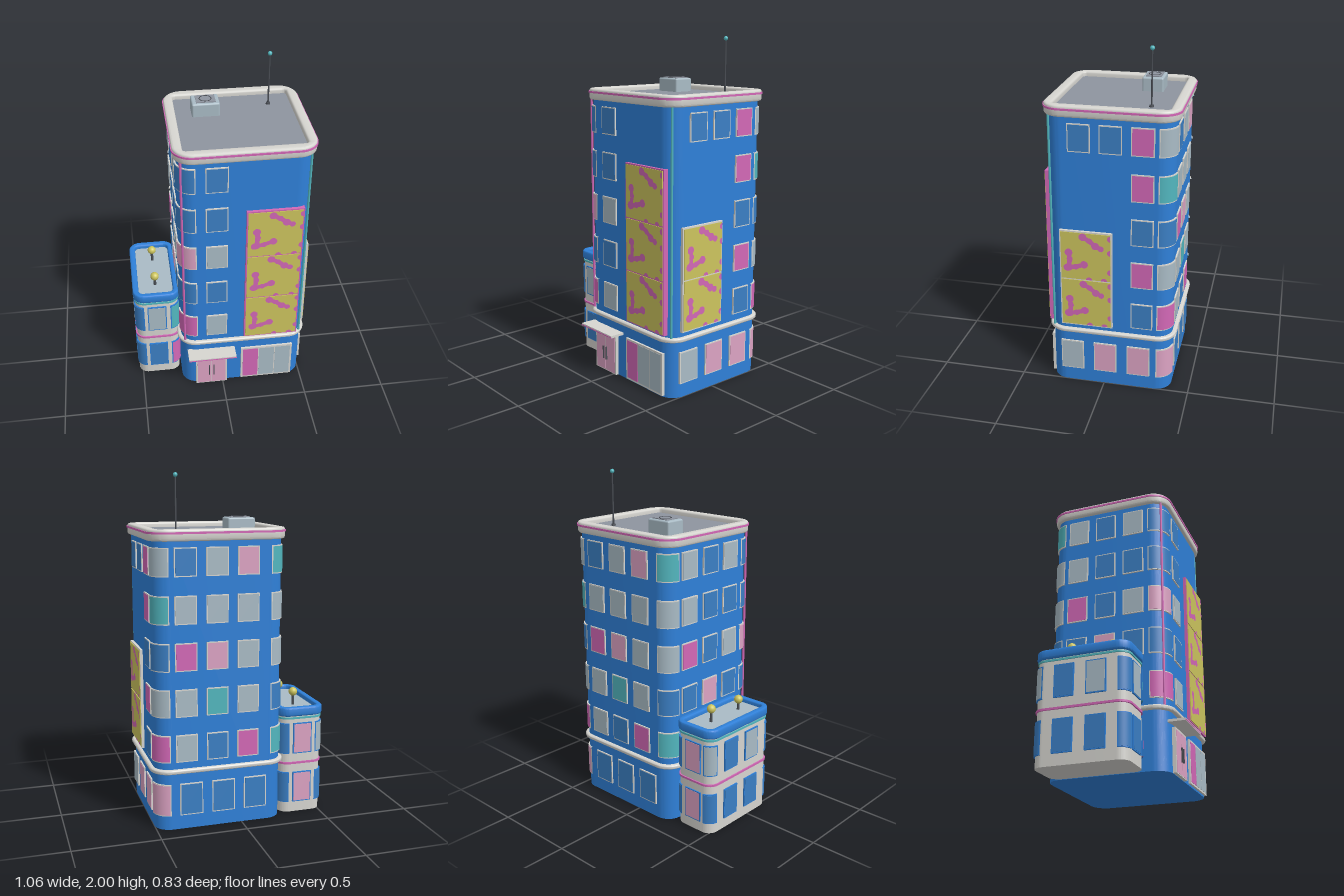
import * as THREE from 'three';
import { toCreasedNormals } from 'three/addons/utils/BufferGeometryUtils.js';
import { RoundedBoxGeometry } from 'three/addons/geometries/RoundedBoxGeometry.js';

const COLORS = {
  wallBlue: 0x2f80d8, trim: 0xd6d5d0, roofGrey: 0x8e949f, paleGlass: 0xa9bbc5, blueGlass: 0x3b7fc4,
  blushGlass: 0xdca3c3, hotPink: 0xd268b6, teal: 0x52b6be, yellow: 0xccc45e, darkMetal: 0x4a4e55,
};
const GLASS = { p: 'paleGlass', b: 'blueGlass', l: 'blushGlass', h: 'hotPink', t: 'teal' };

// Footprints: centre, size and corner radius
const TOWER = { x: 0.125, z: -0.037, w: 0.75, d: 0.706, r: 0.09 };
const ANNEX = { x: -0.39, z: -0.074, w: 0.262, d: 0.53, r: 0.06 };

export function createModel() {
  const model = new THREE.Group();
  model.name = 'building';
  const mats = {};
  for (const [name, color] of Object.entries(COLORS)) {
    mats[name] = new THREE.MeshStandardMaterial({ color });
    mats[name].name = name;
  }

  const add = (parent, name, geo, mat, x = 0, y = 0, z = 0) => {
    const m = new THREE.Mesh(geo, mats[mat]);
    m.name = name;
    m.position.set(x, y, z);
    parent.add(m);
    return m;
  };
  const box = (parent, name, w, h, d, mat, x, y, z) => add(parent, name, new THREE.BoxGeometry(w, h, d), mat, x, y, z);

  // Rounded rectangle outline grown by g
  const outline = (f, g, r, target = new THREE.Shape()) => {
    const a = f.w / 2 + g, b = f.d / 2 + g, P = Math.PI;
    target.absarc(a - r, b - r, r, 0, P / 2);
    target.absarc(-a + r, b - r, r, P / 2, P);
    target.absarc(-a + r, -b + r, r, P, P * 1.5);
    target.absarc(a - r, -b + r, r, P * 1.5, P * 2);
    target.closePath();
    return target;
  };
  // Upright slab or ring on a footprint, from y0 to y1
  const slab = (name, f, y0, y1, grow, mat, { hole, holeR = 0.02, bevel = 0 } = {}) => {
    const shape = outline(f, grow - bevel, f.r + grow - bevel);
    if (hole !== undefined) shape.holes.push(outline(f, hole + bevel, holeR + bevel, new THREE.Path()));
    const geo = new THREE.ExtrudeGeometry(shape, {
      depth: y1 - y0 - 2 * bevel, curveSegments: 8, bevelEnabled: bevel > 0,
      bevelSize: bevel, bevelThickness: bevel, bevelSegments: 3,
    });
    geo.rotateX(-Math.PI / 2);
    return add(model, name, toCreasedNormals(geo, 0.7), mat, f.x, y0 + bevel, f.z);
  };

  // Group lying on a wall; u is the world x or z along that wall
  const onWall = (name, f, side, u, y) => {
    const g = new THREE.Group();
    g.name = name;
    const s = { front: 0, right: 1, back: 2, left: 3 }[side];
    g.rotation.y = s * Math.PI / 2;
    if (side === 'front') g.position.set(u, y, f.z + f.d / 2);
    if (side === 'back') g.position.set(u, y, f.z - f.d / 2);
    if (side === 'right') g.position.set(f.x + f.w / 2, y, u);
    if (side === 'left') g.position.set(f.x - f.w / 2, y, u);
    model.add(g);
    return g;
  };
  const flatWindow = (f, side, u, y, w, h, key, frame = 'trim') => {
    const g = onWall('window', f, side, u, y);
    box(g, 'windowFrame', w, h, 0.016, frame, 0, 0, 0);
    box(g, 'windowGlass', w - 0.012, h - 0.012, 0.008, GLASS[key], 0, 0, 0.0055);
  };
  // Window bent round a corner; sx and sz choose the corner
  const cornerWindow = (f, sx, sz, y, h, key, frame = 'trim', arc = 1.4) => {
    const x = f.x + sx * (f.w / 2 - f.r), z = f.z + sz * (f.d / 2 - f.r);
    const mid = Math.atan2(sx, sz);
    const part = (name, r, hh, a, mat) =>
      add(model, name, new THREE.CylinderGeometry(r, r, hh, 10, 1, false, mid - a / 2, a), mat, x, y, z);
    part('cornerWindowFrame', f.r + 0.008, h, arc, frame);
    part('cornerWindowGlass', f.r + 0.0095, h - 0.012, arc - 0.012 / f.r, GLASS[key]);
  };

  // Tower walls, belt, parapet and roof
  slab('towerWalls', TOWER, 0, 1.655, 0, 'wallBlue');
  slab('belt', TOWER, 0.334, 0.36, 0.022, 'trim', { bevel: 0.01 });
  slab('parapet', TOWER, 1.638, 1.702, 0.021, 'trim', { hole: -0.035, bevel: 0.012 });
  slab('parapetStripe', TOWER, 1.677, 1.688, 0.026, 'hotPink', { hole: 0, holeR: 0.09 });
  slab('roofDeck', TOWER, 1.65, 1.672, -0.02, 'roofGrey');

  // Light tubes on the front corners
  for (const [s, mat] of [[-1, 'hotPink'], [1, 'teal']]) {
    const k = TOWER.r * (1 - Math.SQRT1_2) - 0.008;
    add(model, 'cornerLight', new THREE.CylinderGeometry(0.007, 0.007, 1.28, 8), mat,
      TOWER.x + s * (TOWER.w / 2 - k), 1.0, TOWER.z + TOWER.d / 2 - k);
  }

  // Upper windows: one string per floor, lowest floor first
  const backX = [0.325, 0.145, -0.035], sideZ = [-0.222, -0.047, 0.127];
  const floors = [
    { front: 'p', fl: 'h', back: 'pbh', br: 'h', bl: 't', right: 'b', left: '' },
    { front: 'b', fl: 'b', back: 'ptp', br: 'p', bl: 'b', right: 'h', left: 'blb' },
    { front: 'p', fl: 'l', back: 'hlp', br: 'b', bl: 'p', right: 'b', left: 'hbp' },
    { front: 'b', fl: 'b', back: 'ppp', br: 't', bl: 'p', right: 'h', left: 'pbb' },
    { front: 'b', fl: 'b', back: 'bpl', br: 'p', bl: 't', right: 'hbb', left: 'pbp' },
  ];
  floors.forEach((fl, i) => {
    const y = 0.48 + i * 0.2615, w = 0.126, h = 0.158;
    flatWindow(TOWER, 'front', -0.037, y, w, h, fl.front);
    [...fl.back].forEach((k, j) => flatWindow(TOWER, 'back', backX[j], y, w, h, k));
    [...fl.right].forEach((k, j) => flatWindow(TOWER, 'right', sideZ[j], y, w, h, k));
    [...fl.left].forEach((k, j) => flatWindow(TOWER, 'left', sideZ[j], y, w, h, k));
    cornerWindow(TOWER, -1, 1, y, h, fl.fl, 'trim', 1.7);
    cornerWindow(TOWER, 1, -1, y, h, fl.br);
    cornerWindow(TOWER, -1, -1, y, h, fl.bl);
  });
  // Ground floor windows
  [0.187, -0.008, -0.205].forEach((z, j) => flatWindow(TOWER, 'right', z, 0.178, 0.134, 0.188, 'pll'[j]));
  [0.3, 0.11, -0.08].forEach((x) => flatWindow(TOWER, 'back', x, 0.178, 0.134, 0.188, 'b'));
  cornerWindow(TOWER, 1, -1, 0.178, 0.188, 'l');

  // Entrance: double door, handles and canopy
  const door = onWall('entrance', TOWER, 'front', -0.072, 0);
  box(door, 'doorFrame', 0.196, 0.25, 0.04, 'trim', 0, 0.127, 0);
  for (const s of [-1, 1]) {
    box(door, 'doorPane', 0.086, 0.232, 0.008, 'blushGlass', s * 0.0455, 0.124, 0.018);
    box(door, 'doorHandle', 0.006, 0.08, 0.008, 'darkMetal', s * 0.014, 0.118, 0.028);
  }
  box(door, 'canopy', 0.294, 0.014, 0.1, 'trim', 0, 0.274, 0.042);
  box(door, 'canopyEdge', 0.294, 0.006, 0.004, 'hotPink', 0, 0.272, 0.092);

  // Shop window
  const shop = onWall('shopWindow', TOWER, 'front', 0.278, 0.138);
  box(shop, 'shopFrame', 0.324, 0.254, 0.026, 'trim', 0, 0, 0);
  ['hotPink', 'paleGlass', 'paleGlass'].forEach((m, i) =>
    box(shop, 'shopPane', 0.096, 0.232, 0.008, m, (i - 1) * 0.102, 0, 0.0105));

  // Billboards: yellow panels with a splash pattern in panel units
  const strokes = [
    [[0.16, 0.57], [0.18, 0.43], [0.16, 0.25]],
    [[0.13, 0.24], [0.3, 0.27], [0.47, 0.33]],
    [[0.45, 0.92], [0.58, 0.85], [0.7, 0.75], [0.81, 0.7]],
  ];
  const edgeDots = [[1, 0.62, 1], [1, 0.2, 1], [0.87, 0, 0], [0.57, 0, 0], [1, 0.92, 1]];
  const billboard = (side, u, y, w, h, count, frame, depth) => {
    const g = onWall('billboard', TOWER, side, u, y);
    box(g, 'billboardFrame', w, h, depth * 2, frame, 0, 0, 0);
    const pw = w - 0.016, ph = (h - 0.016 - (count - 1) * 0.008) / count;
    for (let i = 0; i < count; i++) {
      const panel = new THREE.Group();
      panel.name = 'billboardPanel';
      panel.position.set(0, (i - (count - 1) / 2) * (ph + 0.008), depth + 0.001);
      g.add(panel);
      box(panel, 'panelFace', pw, ph, 0.006, 'yellow', 0, 0, 0);
      const at = ([a, b]) => [(a - 0.5) * pw, (b - 0.5) * ph];
      const r = 0.021;
      for (const line of strokes) line.forEach((p, k) => {
        const [x, yy] = at(p);
        add(panel, 'splashDot', new THREE.CircleGeometry(r * (k % 2 ? 0.85 : 1.1), 14), 'hotPink', x, yy, 0.0045);
        if (!k) return;
        const [x0, y0] = at(line[k - 1]);
        const bar = add(panel, 'splashStroke', new THREE.PlaneGeometry(Math.hypot(x - x0, yy - y0), r * 1.3),
          'hotPink', (x + x0) / 2, (yy + y0) / 2, 0.0042);
        bar.rotation.z = Math.atan2(yy - y0, x - x0);
      });
      for (const [a, b, vertical] of edgeDots) {
        const [x, yy] = at([a, b]);
        add(panel, 'splashEdge', new THREE.CircleGeometry(r * 0.85, 10, vertical ? Math.PI / 2 : 0, Math.PI),
          'hotPink', x, yy, 0.0045);
      }
    }
  };
  billboard('front', 0.293, 0.842, 0.328, 0.936, 3, 'hotPink', 0.018);
  billboard('right', 0.096, 0.688, 0.3, 0.598, 2, 'trim', 0.016);

  // Roof unit with a fan, and the aerial
  add(model, 'roofUnit', new RoundedBoxGeometry(0.16, 0.09, 0.122, 2, 0.01), 'paleGlass', -0.04, 1.706, -0.187);
  box(model, 'ventPlate', 0.112, 0.008, 0.088, 'roofGrey', -0.038, 1.752, -0.187);
  const fan = add(model, 'fanRing', new THREE.TorusGeometry(0.034, 0.0025, 6, 24), 'darkMetal', -0.038, 1.756, -0.187);
  fan.rotation.x = Math.PI / 2;
  add(model, 'aerialBase', new THREE.CylinderGeometry(0.012, 0.014, 0.012, 12), 'darkMetal', 0.337, 1.676, -0.235);
  add(model, 'aerialPole', new THREE.CylinderGeometry(0.004, 0.005, 0.32, 8), 'darkMetal', 0.337, 1.83, -0.235);
  add(model, 'aerialTip', new THREE.SphereGeometry(0.013, 12, 8), 'teal', 0.337, 1.987, -0.235);

  // Annex walls, bands and roof
  slab('annexWalls', ANNEX, 0, 0.612, 0, 'trim');
  slab('annexStripe', ANNEX, 0.301, 0.313, 0.008, 'hotPink');
  slab('annexLight', ANNEX, 0.577, 0.588, 0.006, 'teal');
  slab('annexParapet', ANNEX, 0.593, 0.648, 0.011, 'wallBlue', { hole: -0.026, holeR: 0.03, bevel: 0.01 });
  slab('annexRoof', ANNEX, 0.605, 0.622, -0.015, 'paleGlass');

  // Annex windows on two floors
  ['blbb', 'plpb'].forEach((keys, i) => {
    const y = 0.157 + i * 0.302, h = 0.186, w = 0.116;
    const win = (side, u, k) => flatWindow(ANNEX, side, u, y, w, h, k, 'wallBlue');
    win('front', -0.392, keys[0]);
    win('back', -0.392, keys[1]);
    win('left', 0.018, keys[2]);
    win('left', -0.166, keys[3]);
    cornerWindow(ANNEX, -1, 1, y, h, 'b', 'wallBlue', 1.3);
    cornerWindow(ANNEX, -1, -1, y, h, i ? 'p' : 'b', 'wallBlue', 1.3);
    cornerWindow(ANNEX, 1, 1, y, h, i ? 't' : 'h', 'wallBlue', 1.3);
    cornerWindow(ANNEX, 1, -1, y, h, 'b', 'wallBlue', 1.3);
  });

  // Globe lamps on the annex roof
  for (const [z, y] of [[-0.186, 0.702], [0.06, 0.687]]) {
    add(model, 'lampStem', new THREE.CylinderGeometry(0.007, 0.009, y - 0.62, 8), 'darkMetal', -0.39, (y + 0.62) / 2, z);
    add(model, 'lampGlobe', new THREE.SphereGeometry(0.026, 18, 12), 'yellow', -0.39, y, z);
  }
  return model;
}
